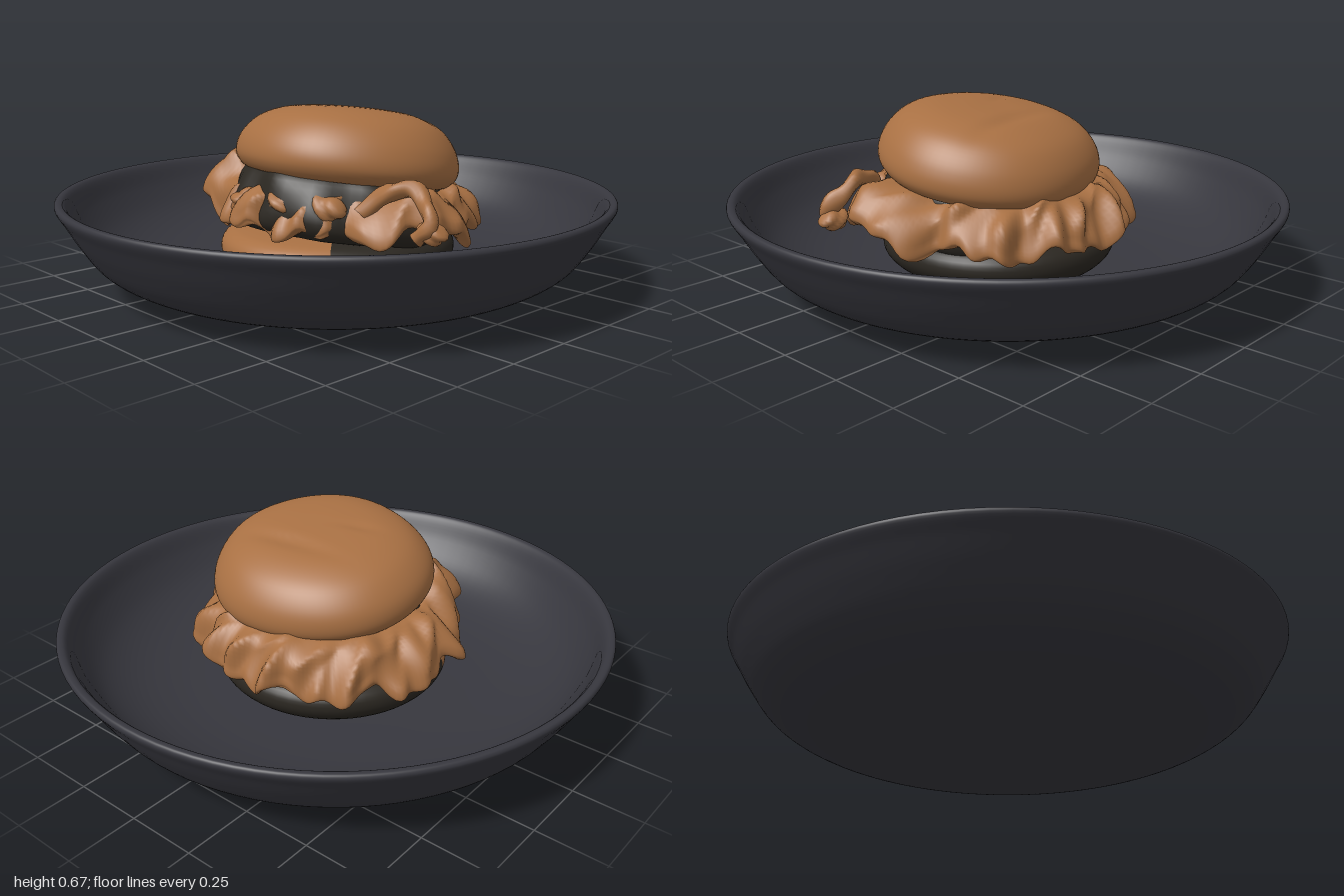
import * as THREE from 'three';
import { mergeVertices } from 'three/addons/utils/BufferGeometryUtils.js';

const mat = (name, color) => {
  const m = new THREE.MeshStandardMaterial({ color });
  m.name = name;
  return m;
};
const gauss = (d, w) => Math.exp(-((d / w) ** 2));
// shortest distance between two angles
const angleGap = (a, b) => Math.atan2(Math.sin(a - b), Math.cos(a - b));

// smooth profile through a few points, spun around y
function spin(points, steps, segments, start = 0, length = Math.PI * 2) {
  const curve = new THREE.CatmullRomCurve3(points.map(([r, y]) => new THREE.Vector3(r, y, 0)), false, 'centripetal');
  const profile = curve.getPoints(steps).map((p) => new THREE.Vector2(Math.max(p.x, 0), p.y));
  return new THREE.LatheGeometry(profile, segments, start, length);
}

// move each vertex by a rule, then weld the seam and smooth
function reshape(geometry, rule) {
  const pos = geometry.attributes.position;
  const v = new THREE.Vector3();
  for (let i = 0; i < pos.count; i++) {
    v.fromBufferAttribute(pos, i);
    rule(v);
    pos.setXYZ(i, v.x, v.y, v.z);
  }
  geometry.deleteAttribute('uv');
  geometry.deleteAttribute('normal');
  const welded = mergeVertices(geometry, 1e-4);
  welded.computeVertexNormals();
  return welded;
}

export function createModel() {
  const model = new THREE.Group();
  model.name = 'burgerInBowl';
  const bread = mat('toasted brown', 0xa87043);
  const bowlGrey = mat('charcoal bowl', 0x37373e);
  const dark = mat('dark filling', 0x2b2721);

  const add = (name, geometry, material, parent = model) => {
    const mesh = new THREE.Mesh(geometry, material);
    mesh.name = name;
    parent.add(mesh);
    return mesh;
  };

  // shallow bowl with rounded rim
  add('bowl', spin([
    [0, 0], [0.45, 0.004], [0.65, 0.025], [0.77, 0.06], [0.86, 0.115], [0.925, 0.2], [0.97, 0.275],
    [0.998, 0.325], [0.992, 0.338], [0.975, 0.338], [0.96, 0.325], [0.92, 0.25], [0.85, 0.165],
    [0.75, 0.105], [0.6, 0.065], [0.4, 0.05], [0, 0.048],
  ], 90, 96), bowlGrey);

  // bottom bun: toasted in front, dark behind
  const base = [[0, 0.045], [0.28, 0.05], [0.37, 0.075], [0.42, 0.13], [0.415, 0.18], [0.36, 0.215], [0, 0.22]];
  const front = [-1.2, 1.95];
  [['bottomBunFront', bread, front[0], front[1]],
    ['bottomBunBack', dark, front[0] + front[1], Math.PI * 2 - front[1]]].forEach(([name, material, start, length]) => {
    add(name, spin(base, 24, 40, start, length), material).position.set(0.03, 0, 0.02);
  });

  // tilted stack: patty and top bun
  const stack = new THREE.Group();
  stack.name = 'tiltedStack';
  stack.position.set(0.075, 0.4, 0.03);
  stack.rotation.x = -0.155;
  model.add(stack);

  add('patty', reshape(
    spin([[0, -0.2], [0.34, -0.2], [0.385, -0.16], [0.38, -0.08], [0.35, 0.0], [0.28, 0.03], [0, 0.03]], 24, 72),
    (v) => {
      const a = Math.atan2(v.x, v.z);
      const k = 1 + 0.02 * Math.sin(7 * a + 18 * v.y) + 0.015 * Math.sin(13 * a);
      v.x *= k;
      v.z *= k;
    }), dark, stack);

  add('topBun', reshape(
    spin([[0, 0.005], [0.3, 0], [0.37, 0.0], [0.405, 0.035], [0.41, 0.075], [0.39, 0.13],
      [0.335, 0.19], [0.25, 0.228], [0.13, 0.245], [0, 0.248]], 48, 80),
    (v) => {
      const a = Math.atan2(v.x, v.z);
      const k = 1 + 0.01 * Math.sin(3 * a + 0.5) + 0.006 * Math.sin(5 * a);
      v.x *= k;
      v.z *= k * 0.945;
      if (v.y > 0.1) {
        // crown leans, with a couple of shallow creases
        v.y += 0.04 * v.x * (v.y - 0.1) / 0.15;
        v.y -= 0.012 * gauss(v.z + 0.12 + 0.1 * v.x, 0.03) * gauss(v.x - 0.05, 0.16);
        v.y -= 0.006 * gauss(v.z - 0.05 + 0.3 * v.x, 0.025) * gauss(v.x + 0.12, 0.07);
      }
    }), bread, stack);

  // ruffled leaf ring, drooping at its edge
  const leafProfile = [[0.3, 0.3], [0.36, 0.285], [0.42, 0.245], [0.46, 0.215], [0.475, 0.225],
    [0.465, 0.27], [0.43, 0.335], [0.38, 0.375], [0.3, 0.385], [0.29, 0.34], [0.3, 0.3]];
  const leaf = add('leafRing', reshape(spin(leafProfile, 44, 220), (v) => {
    const a = Math.atan2(v.x, v.z);
    const r = Math.hypot(v.x, v.z);
    const u = THREE.MathUtils.clamp((r - 0.3) / 0.17, 0, 1);
    const reach = 0.455 + 0.15 * gauss(angleGap(a, 1.35), 0.38) + 0.04 * gauss(angleGap(a, -1.4), 0.7)
      + 0.03 * gauss(angleGap(a, 2.3), 0.4);
    const ruffle = 0.018 * Math.sin(11 * a + 9 * u) + 0.012 * Math.sin(19 * a + 1.3) + 0.009 * Math.sin(31 * a + 5 * u);
    const radius = r + u * (reach - 0.475 + ruffle);
    v.x = radius * Math.sin(a);
    v.z = radius * Math.cos(a);
    const frontSide = gauss(angleGap(a, 0.3), 1.3);
    v.y += u * (0.022 * Math.sin(9 * a + 2) + 0.014 * Math.sin(17 * a) + 0.008 * Math.sin(29 * a + 12 * u));
    v.y += frontSide * 0.05 * u + 0.1 * gauss(angleGap(a, -0.75), 0.3) * Math.sin(Math.PI * Math.min(u, 0.75));
    v.y += 0.05 * u * gauss(angleGap(a, 1.3), 0.35);
  }), bread);
  leaf.position.set(0.03, 0, 0);

  // curled leaf arch at the left side
  const curl = new THREE.CatmullRomCurve3([
    [0.4, 0.34, 0.27], [0.46, 0.41, 0.23], [0.54, 0.435, 0.19], [0.6, 0.4, 0.2], [0.65, 0.34, 0.21], [0.6, 0.29, 0.24],
  ].map((p) => new THREE.Vector3(...p)));
  add('leafCurl', reshape(new THREE.TubeGeometry(curl, 40, 0.028, 12), (v) => {
    v.z += 0.012 * Math.sin(40 * v.x);
    v.y += 0.006 * Math.sin(60 * v.x + 30 * v.z);
  }), bread);

  // small torn leaf tips poking out in front
  [[0.14, 0.36, 0.38, 0.05], [-0.03, 0.35, 0.4, 0.045], [0.3, 0.36, 0.32, 0.05], [0.64, 0.31, 0.2, 0.04]]
    .forEach(([x, y, z, s], i) => {
      const tip = add('leafTip', reshape(new THREE.SphereGeometry(1, 20, 14), (v) => {
        v.multiplyScalar(1 + 0.15 * Math.sin(5 * v.x + 4 * v.y + i));
      }), bread);
      tip.position.set(x, y, z);
      tip.scale.set(s * 1.3, s * 0.8, s);
      tip.rotation.z = 0.5 * Math.sin(2 * i);
    });

  return model;
}
